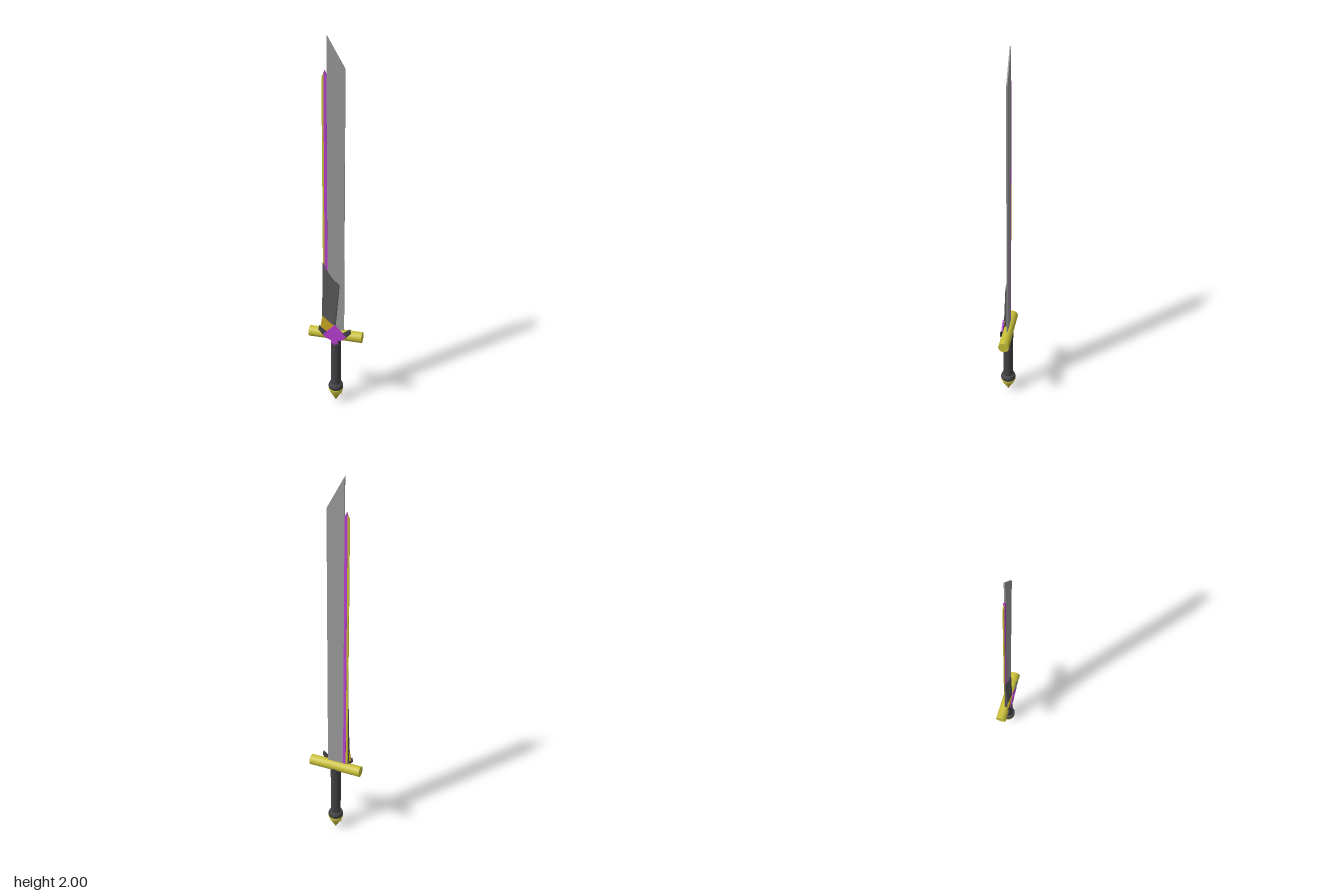
import * as THREE from 'three';

const mat = (color, flatShading = false) =>
  new THREE.MeshStandardMaterial({ color, flatShading, side: THREE.DoubleSide });

export function createModel() {
  const sword = new THREE.Group();
  const steel = mat(0x999999, true);
  const gold = mat(0xc9c038);
  const goldFlat = mat(0xc9a820, true);
  const purple = mat(0xb83fd0, true);
  const dark = mat(0x424246);
  const darkFlat = mat(0x58585a, true);

  function add(name, geometry, material, y = 0) {
    const mesh = new THREE.Mesh(geometry, material);
    mesh.name = name;
    mesh.position.y = y;
    sword.add(mesh);
    return mesh;
  }

  // Flat plate from an outline; the front face may follow a depth rule
  function plate(name, points, z0, z1, material, frontRule) {
    const shape = new THREE.Shape(points.map(([x, y]) => new THREE.Vector2(x, y)));
    const geo = new THREE.ExtrudeGeometry(shape, { depth: z1 - z0, bevelEnabled: false });
    geo.translate(0, 0, z0);
    if (frontRule) {
      const p = geo.attributes.position;
      for (let i = 0; i < p.count; i++) {
        if (p.getZ(i) > (z0 + z1) / 2) p.setZ(i, frontRule(p.getX(i), p.getY(i)));
      }
      geo.computeVertexNormals();
    }
    return add(name, geo, material);
  }

  // Single-edged blade with a slanted tip
  plate('blade', [[-0.045, 0.43], [0.045, 0.43], [0.045, 1.85], [-0.045, 2]], -0.004, 0.002, steel);

  // Coloured strips along the back of the blade
  plate('spineInlay', [[-0.06, 0.43], [-0.045, 0.43], [-0.045, 1.82], [-0.055, 1.84], [-0.06, 1.825]],
    -0.004, 0.004, purple);
  plate('spineEdge', [[-0.07, 0.43], [-0.06, 0.43], [-0.06, 1.83], [-0.07, 1.81]], -0.003, 0.002, gold);

  // Wedge-shaped cover over the blade root, thicker toward the guard
  const wedge = (x, y) => 0.006 + 0.019 * THREE.MathUtils.clamp((0.85 - y) / 0.38, 0, 1);
  plate('bladeCover', [[-0.072, 0.45], [-0.005, 0.45], [0.003, 0.52], [0.021, 0.73], [-0.012, 0.755],
    [-0.035, 0.785], [-0.05, 0.81], [-0.07, 0.85]], 0.002, 0.02, darkFlat, wedge);
  plate('coverTrim', [[-0.08, 0.47], [-0.045, 0.44], [-0.01, 0.45], [0.001, 0.49], [-0.035, 0.515], [-0.068, 0.545]],
    0.018, 0.028, goldFlat);

  // Crossguard
  const guard = new THREE.CylinderGeometry(0.029, 0.029, 0.294, 24);
  guard.rotateZ(Math.PI / 2);
  add('crossguard', guard, gold, 0.429);

  // Dark wings either side of the emblem
  for (const s of [-1, 1]) {
    plate(s < 0 ? 'rightWing' : 'leftWing', [[0, 0.42], [s * 0.06, 0.425], [s * 0.09, 0.46], [s * 0.086, 0.485],
      [s * 0.045, 0.455], [0, 0.46]], 0.024, 0.03, mat(0x424246, true));
  }

  // Emblem on the front of the guard, with small lower points
  plate('emblem', [[0, 0.5], [0.065, 0.435], [0.045, 0.415], [0.018, 0.405], [0.02, 0.38], [0.008, 0.39], [0, 0.372],
    [-0.008, 0.39], [-0.02, 0.38], [-0.018, 0.405], [-0.045, 0.415], [-0.065, 0.435]], 0.024, 0.032, purple);

  // Grip and pommel collar
  add('grip', new THREE.CylinderGeometry(0.028, 0.028, 0.32, 16), dark, 0.26);
  const profile = (pts) => new THREE.LatheGeometry(pts.map(([r, y]) => new THREE.Vector2(r, y)), 24);
  add('pommelCollar', profile([[0, 0.083], [0.038, 0.083], [0.041, 0.09], [0.041, 0.104], [0.035, 0.117], [0, 0.117]]), dark);
  add('pommelRing', profile([[0, 0.07], [0.037, 0.07], [0.041, 0.077], [0.037, 0.086], [0, 0.086]]), gold);

  // Pommel point and its side spikes
  add('pommelPoint', profile([[0, 0], [0.034, 0.06], [0.034, 0.072], [0, 0.072]]), gold);
  for (const s of [-1, 1]) {
    const spike = new THREE.ConeGeometry(0.008, 0.035, 6);
    spike.rotateX(Math.PI);
    add(s < 0 ? 'rightSpike' : 'leftSpike', spike, gold, 0.056).position.x = s * 0.031;
  }
  return sword;
}
